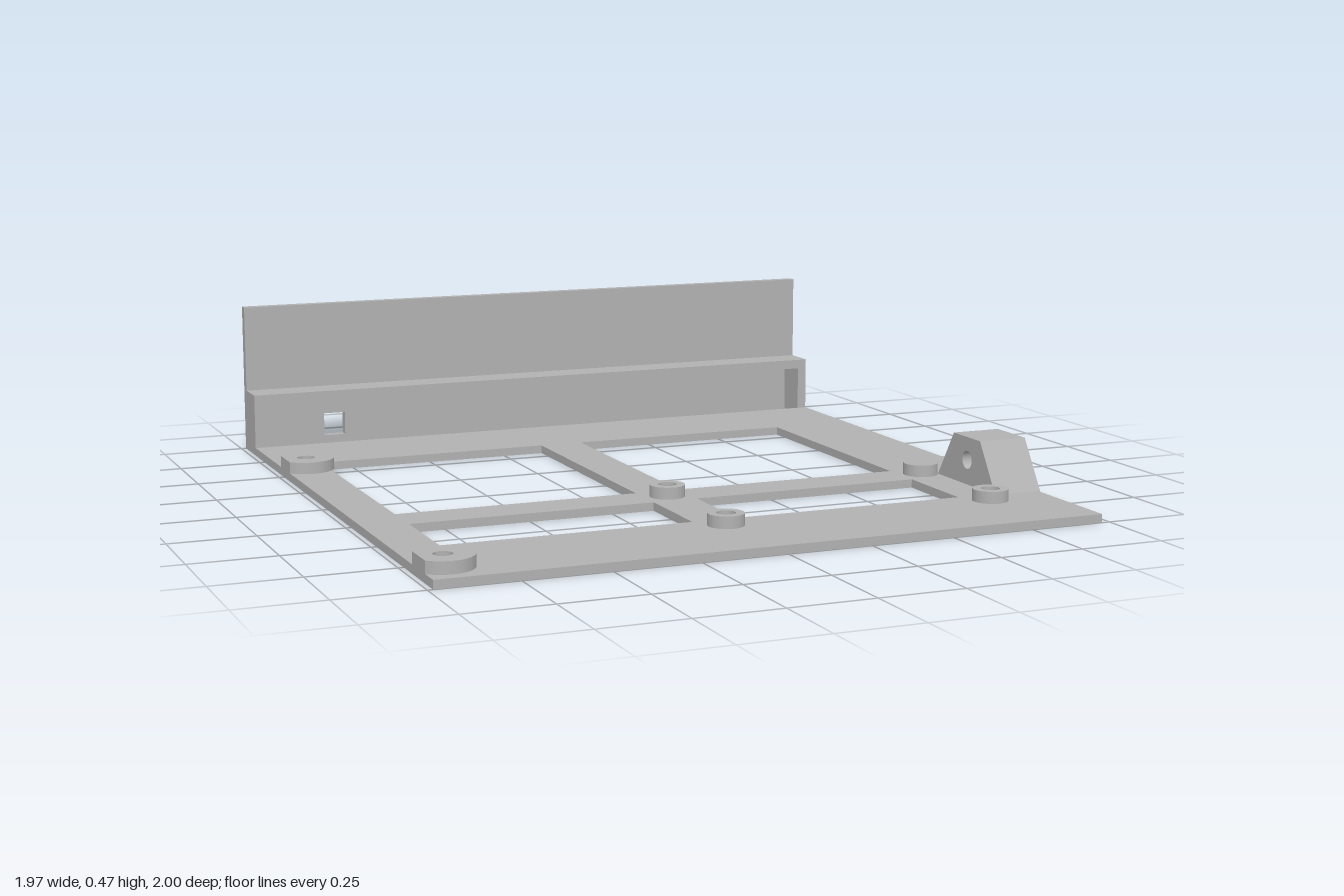
import * as THREE from 'three';

const X0 = -0.985, X1 = 0.975, PLATE = 0.025;

function rect(Type, x0, y0, x1, y1) {
  const s = new Type();
  s.moveTo(x0, y0);
  s.lineTo(x1, y0);
  s.lineTo(x1, y1);
  s.lineTo(x0, y1);
  s.closePath();
  return s;
}

function circleHole(x, y, r) {
  const p = new THREE.Path();
  p.absarc(x, y, r, 0, Math.PI * 2, true);
  return p;
}

function extrude(shape, depth) {
  return new THREE.ExtrudeGeometry(shape, { depth, bevelEnabled: false, curveSegments: 20 });
}

// Lays an extrusion flat: shape y becomes -z, depth becomes height
function flat(shape, height, y = 0) {
  return extrude(shape, height).rotateX(-Math.PI / 2).translate(0, y, 0);
}

export function createModel() {
  const group = new THREE.Group();
  const grey = new THREE.MeshStandardMaterial({ color: 0xb2b2b2 });
  grey.name = 'grey';
  const add = (name, geometry) => {
    const mesh = new THREE.Mesh(geometry, grey);
    mesh.name = name;
    group.add(mesh);
  };

  // Standoffs: x, z, radius, bored through or not
  const holeR = 0.027;
  const standoffs = [
    [-0.92, -0.48, 0.085, true],
    [-0.92, 0.88, 0.085, true],
    [-0.055, 0.31, 0.052, true],
    [-0.055, 0.72, 0.052, true],
    [0.78, 0.72, 0.052, true],
    [0.78, 0.31, 0.052, false],
  ];

  // Base plate with four windows and screw holes
  const plate = rect(THREE.Shape, X0, -1, X1, 0.865);
  for (const [x0, x1] of [[-0.855, -0.125], [0.01, 0.715]])
    for (const [z0, z1] of [[-0.555, 0.24], [0.375, 0.65]])
      plate.holes.push(rect(THREE.Path, x0, -z1, x1, -z0));
  for (const [x, z, , bored] of standoffs)
    if (bored) plate.holes.push(circleHole(x, -z, holeR));
  add('basePlate', flat(plate, PLATE));

  // Round standoffs, trimmed flush where they would pass the plate's edge
  for (const [x, z, r, bored] of standoffs) {
    const a = Math.acos(Math.max(-1, (X0 - x) / r));
    const s = new THREE.Shape();
    s.absarc(x, -z, r, -a, a, false);
    s.closePath();
    if (bored) s.holes.push(circleHole(x, -z, holeR));
    add('standoff', flat(s, 0.035, PLATE));
  }

  // Rear wall with a small square opening
  const wall = rect(THREE.Shape, X0, 0, X1, 0.465);
  wall.holes.push(rect(THREE.Path, -0.73, 0.03, -0.66, 0.103));
  add('rearWall', extrude(wall, 0.03).translate(0, 0, -1));

  // Ledge in front of the wall, hollow and open to the front and below
  const ledge = new THREE.Shape([
    [X0, 0], [X0 + 0.03, 0], [X0 + 0.03, 0.165], [X1 - 0.03, 0.165],
    [X1 - 0.03, 0], [X1, 0], [X1, 0.195], [X0, 0.195],
  ].map(([x, y]) => new THREE.Vector2(x, y)));
  add('rearLedge', extrude(ledge, 0.105).translate(0, 0, -0.97));

  // Side bracket with a cross hole; shape x becomes -z
  const bracket = new THREE.Shape([
    [-0.68, 0], [-0.315, 0], [-0.42, 0.167], [-0.572, 0.167],
  ].map(([x, y]) => new THREE.Vector2(x, y)));
  bracket.holes.push(circleHole(-0.5, 0.098, holeR));
  add('sideBracket', extrude(bracket, 0.152).rotateY(Math.PI / 2).translate(0.83, 0.0005, 0));

  return group;
}
